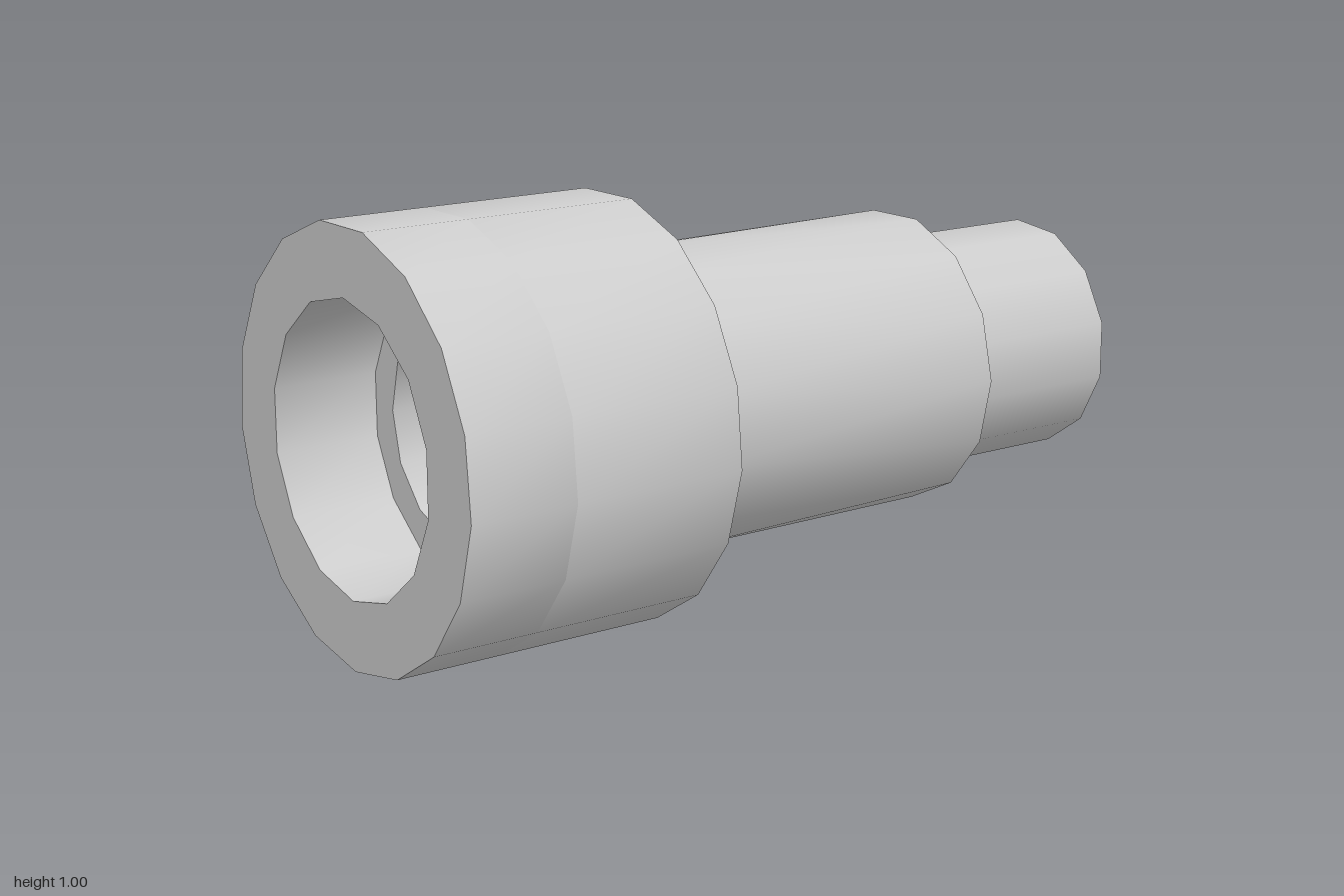
import * as THREE from 'three';
import { toCreasedNormals } from 'three/addons/utils/BufferGeometryUtils.js';

const AXIS_Y = 0.504;
const TAU = Math.PI * 2;

export function createModel() {
  const model = new THREE.Group();
  const material = new THREE.MeshStandardMaterial({ color: 0xcccccc });

  const add = (name, geometry, parent = model) => {
    const mesh = new THREE.Mesh(geometry, material);
    mesh.name = name;
    parent.add(mesh);
    return mesh;
  };

  // Corners of a polygon about the axis; count below sides leaves a straight chord
  const polygon = (radius, sides, start, count = sides) =>
    Array.from({ length: count }, (_, i) => {
      const a = start + (i * TAU) / sides;
      return new THREE.Vector2(radius * Math.cos(a), radius * Math.sin(a));
    });

  // D outline: nine corners of a 13-sided circle closed by a flat on the left
  const dShape = (radius) => polygon(radius, 13, Math.PI - (4 * TAU) / 13, 9);

  const extrude = (outline, hole, z0, z1) => {
    const shape = new THREE.Shape(outline);
    if (hole) shape.holes.push(new THREE.Path(hole));
    const geometry = new THREE.ExtrudeGeometry(shape, { depth: z1 - z0, bevelEnabled: false });
    return geometry.translate(0, AXIS_Y, z0);
  };

  // Socket: open barrel in front, thick wall with a D-shaped bore behind it
  const socket = new THREE.Group();
  socket.name = 'socket';
  model.add(socket);
  const rim = polygon(0.504, 17, -Math.PI / 2);
  const mouth = polygon(0.34, 14, -Math.PI / 2);
  add('socketBarrel', toCreasedNormals(extrude(rim, mouth, 0.74, 1), 0.6), socket);
  add('socketWall', toCreasedNormals(extrude(rim, dShape(0.257), 0.31, 0.74), 0.6), socket);

  // D-shaped peg in the bore, tapering forward on its round side only
  const zBase = 0.29, zTip = 0.66;
  const peg = extrude(dShape(0.247), null, zBase, zTip);
  const p = peg.attributes.position;
  for (let i = 0; i < p.count; i++) {
    const s = p.getZ(i) > 0.5 ? 0.216 / 0.247 : 1;
    const x = p.getX(i);
    p.setXY(i, x > 0 ? 0.083 : x * s, AXIS_Y + (p.getY(i) - AXIS_Y) * s);
  }
  peg.computeVertexNormals();
  add('dPeg', toCreasedNormals(peg, 0.6));

  // Body: its front rim is turned half a side against its rear rim
  const body = new THREE.CylinderGeometry(0.363, 0.363, 0.845, 14);
  const turn = new THREE.Matrix4().makeRotationY(-Math.PI / 14);
  const v = new THREE.Vector3();
  for (const attribute of [body.attributes.position, body.attributes.normal]) {
    for (let i = 0; i < attribute.count; i++) {
      const isRear = i >= 15 && i < 30 || i >= 30 + 29;
      if (isRear) continue;
      v.fromBufferAttribute(attribute, i).applyMatrix4(turn);
      attribute.setXYZ(i, v.x, v.y, v.z);
    }
  }
  body.rotateY(Math.PI / 14).rotateX(Math.PI / 2).translate(0, AXIS_Y, -0.1275);
  add('body', body);

  // Rear shaft
  const shaft = new THREE.CylinderGeometry(0.29, 0.29, 0.45, 13, 1, false, -Math.PI / 2);
  shaft.rotateX(Math.PI / 2).translate(0, AXIS_Y, -0.775);
  add('rearShaft', shaft);

  return model;
}
